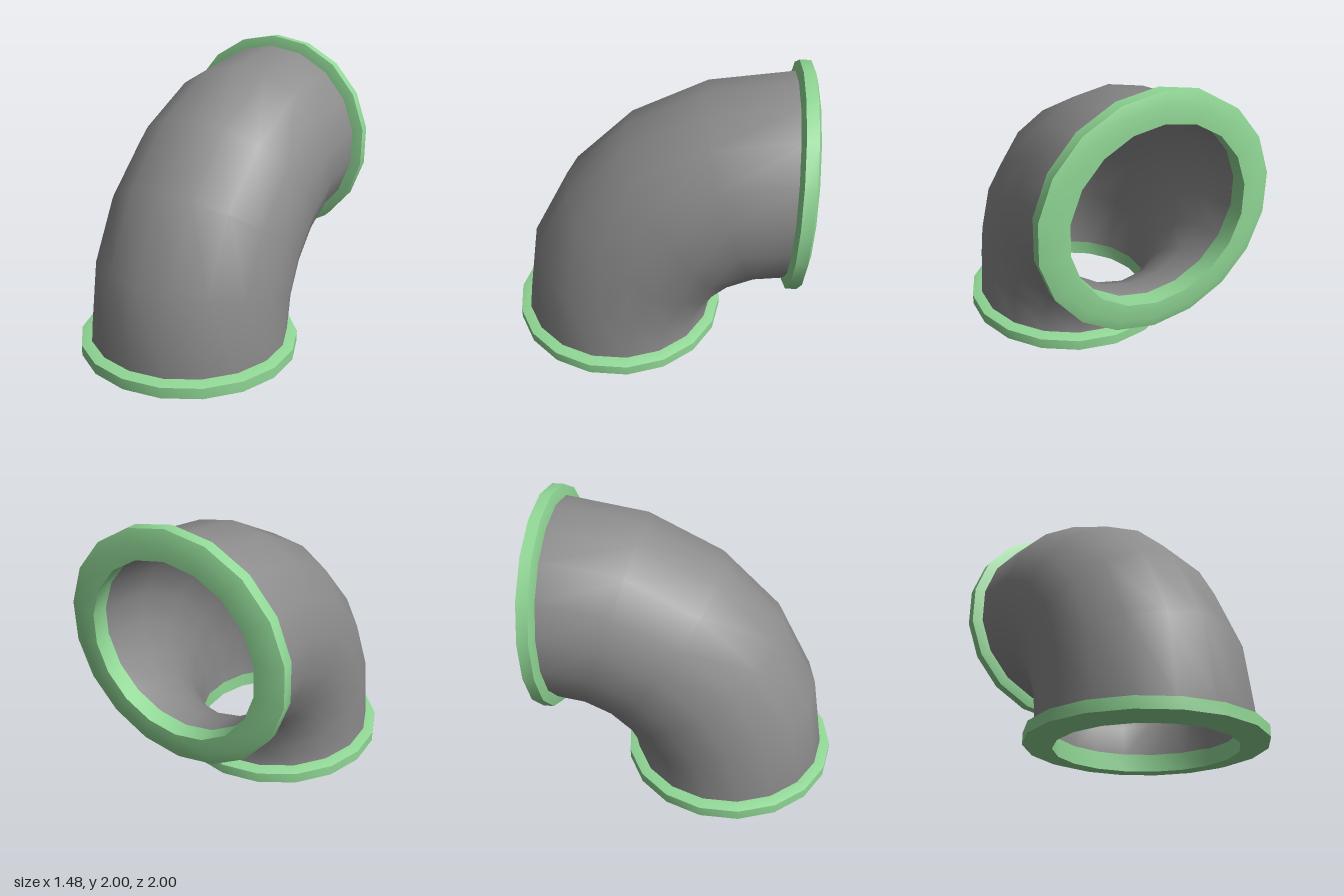
import * as THREE from 'three';
import { toCreasedNormals } from 'three/addons/utils/BufferGeometryUtils.js';

const SIDES = 18, BEND = 1.14, OUTER = 0.68, INNER = 0.57, RIM = 0.75, THICK = 0.115;

export function createModel() {
  const model = new THREE.Group();
  model.name = 'pipeElbow';
  const grey = new THREE.MeshStandardMaterial({ color: 0xcccccc, side: THREE.DoubleSide });
  const green = new THREE.MeshStandardMaterial({ color: 0x90d795 });
  grey.color.set(0x8c8c8c);

  // Outer and inner walls: quarter-turn bend in the YZ plane
  for (const [name, radius] of [['outerPipeWall', OUTER], ['innerPipeWall', INNER]]) {
    const wall = new THREE.Mesh(new THREE.TorusGeometry(BEND, radius, SIDES, 5, Math.PI / 2), grey);
    wall.name = name;
    wall.rotation.y = -Math.PI / 2;
    wall.position.set(0, 0.11, -0.89);
    model.add(wall);
  }

  // Chamfered flange ring, open end at local y = 0
  const profile = [
    [INNER, 0], [OUTER, 0], [RIM, 0.022], [RIM, 0.095],
    [OUTER, THICK], [INNER, THICK], [INNER, 0],
  ].map(([r, y]) => new THREE.Vector2(r, y));
  const ring = toCreasedNormals(new THREE.LatheGeometry(profile, SIDES), 0.5);

  const bottomFlange = new THREE.Mesh(ring, green);
  bottomFlange.name = 'bottomFlange';
  bottomFlange.position.set(0, 0, 0.25);

  const backFlange = new THREE.Mesh(ring, green);
  backFlange.name = 'backFlange';
  backFlange.rotation.x = Math.PI / 2;
  backFlange.position.set(0, 1.25, -1);

  model.add(bottomFlange, backFlange);
  return model;
}
